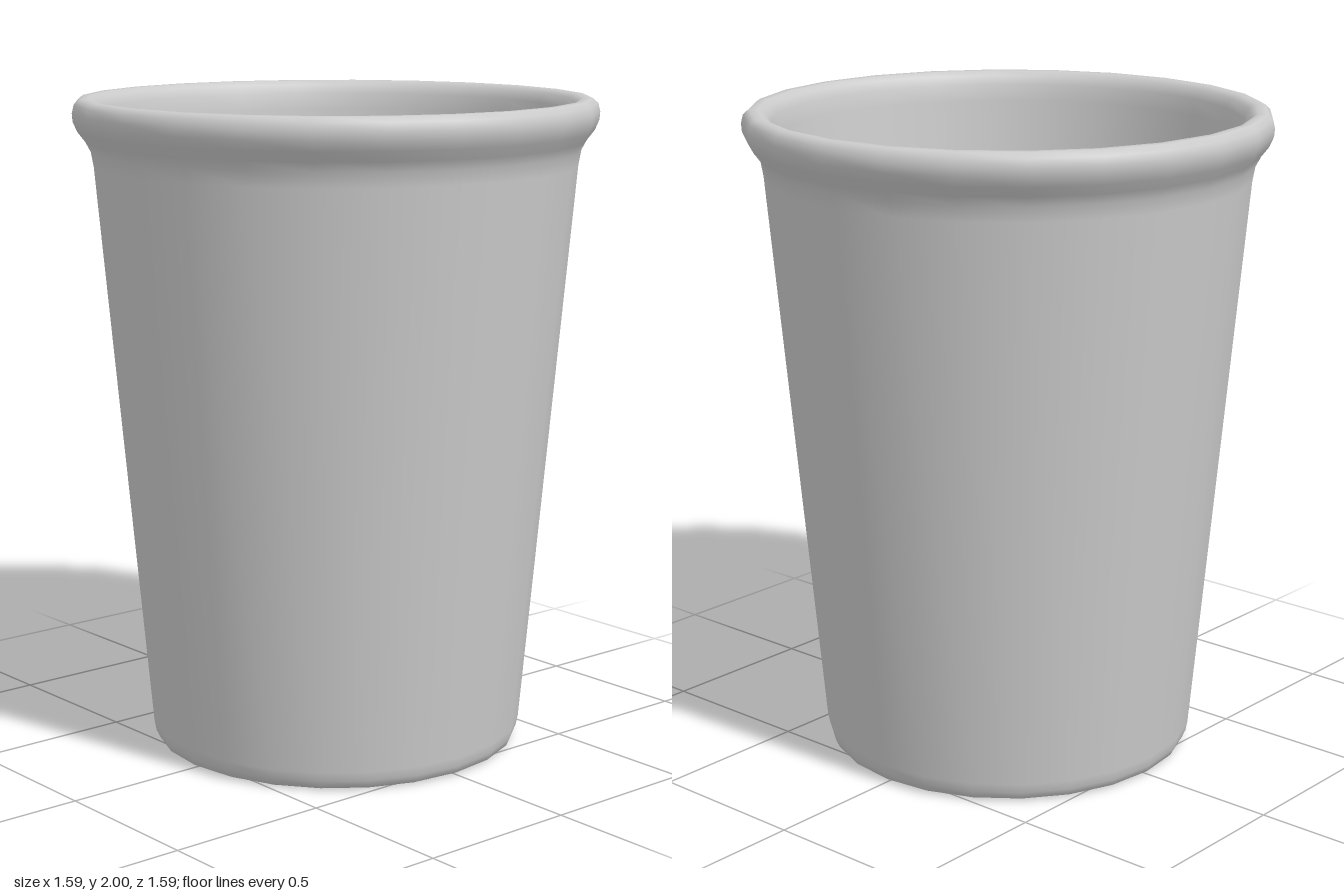
import * as THREE from 'three';

const SIDES = 24;

export function createModel() {
  const cup = new THREE.Group();
  cup.name = 'cup';
  const material = new THREE.MeshStandardMaterial({ color: 0xcccccc, side: THREE.DoubleSide });

  // Wall section: foot recess, outer wall, rolled lip, inner wall
  const profile = [
    [0.485, 0.07], [0.5, 0.035], [0.525, 0.008], [0.545, 0], [0.562, 0.008],
    [0.572, 0.03], [0.578, 0.06], [0.733, 1.8], [0.741, 1.845], [0.757, 1.875],
    [0.78, 1.905], [0.793, 1.935], [0.795, 1.96], [0.789, 1.985], [0.772, 2],
    [0.745, 2], [0.724, 1.988], [0.711, 1.96], [0.703, 1.91],
    [0.51, 0.12], [0.485, 0.07],
  ].map(([r, y]) => new THREE.Vector2(r, y));
  const wall = new THREE.Mesh(new THREE.LatheGeometry(profile, SIDES), material);
  wall.name = 'wallAndLip';
  cup.add(wall);

  // Raised floor, seen from inside and underneath
  const floor = new THREE.Mesh(new THREE.CircleGeometry(0.485, SIDES), material);
  floor.name = 'floor';
  floor.rotation.x = -Math.PI / 2;
  floor.position.y = 0.07;
  cup.add(floor);

  return cup;
}
